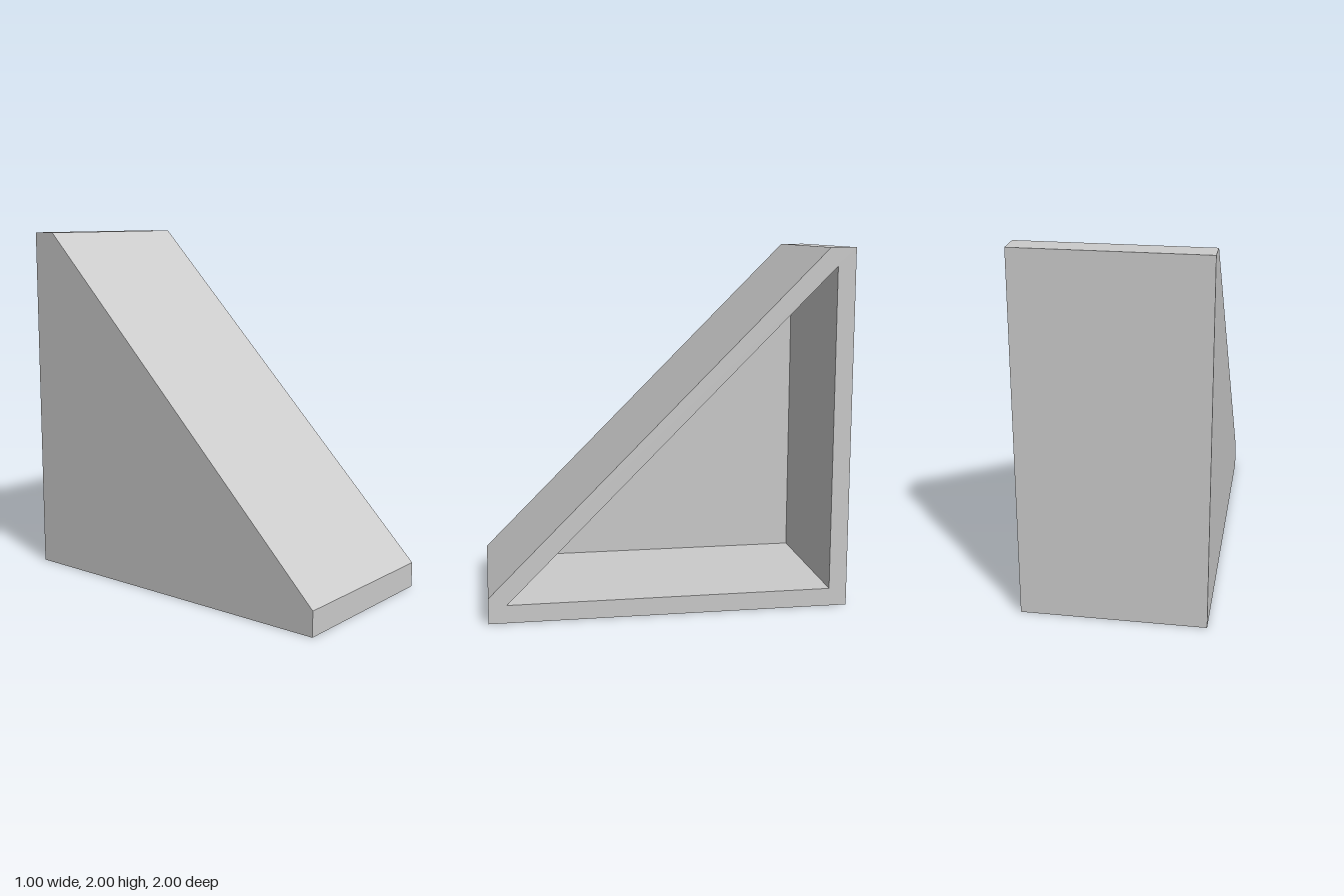
import * as THREE from 'three';

const WALL = 0.1;          // thickness of every wall
const CUT = WALL * Math.SQRT2; // height of the blunt tips
const HALF_WIDTH = 0.5;

// Side profiles: first coordinate runs towards the back, second runs up
const outer = [[-1, 0], [1, 0], [1, 2], [1 - CUT, 2], [-1, CUT]];
const inner = [[-1 + WALL, WALL], [1 - WALL, WALL], [1 - WALL, 2 - WALL]];
const toPoints = (list) => list.map(([u, v]) => new THREE.Vector2(u, v));

// Extrude a profile sideways from x = start
function extrudeAcross(name, shape, start, depth, material) {
  const geometry = new THREE.ExtrudeGeometry(shape, { depth, bevelEnabled: false });
  geometry.rotateY(Math.PI / 2);
  geometry.translate(start, 0, 0);
  const mesh = new THREE.Mesh(geometry, material);
  mesh.name = name;
  return mesh;
}

export function createModel() {
  const group = new THREE.Group();
  group.name = 'wedge';
  const material = new THREE.MeshStandardMaterial({ color: 0xcccccc, flatShading: true });

  // Floor, back wall and sloping face as one hollow triangular frame
  const frame = new THREE.Shape(toPoints(outer));
  frame.holes.push(new THREE.Path(toPoints(inner)));
  group.add(extrudeAcross('wedgeFrame', frame, -HALF_WIDTH + WALL, 2 * HALF_WIDTH - WALL, material));

  // Solid panel closing one side
  group.add(extrudeAcross('sidePanel', new THREE.Shape(toPoints(outer)), -HALF_WIDTH, WALL, material));

  return group;
}
